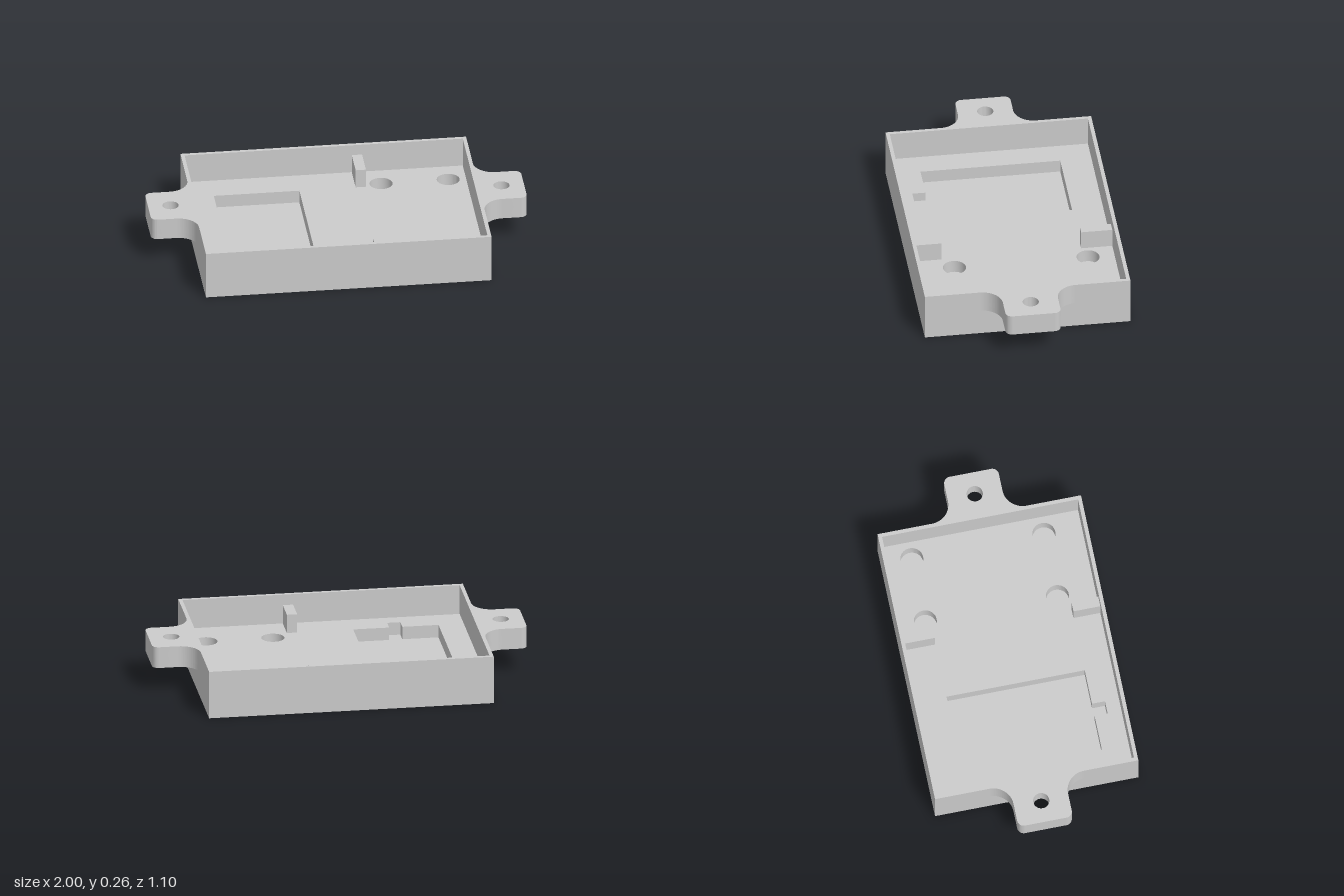
import * as THREE from 'three';
import { toCreasedNormals } from 'three/addons/utils/BufferGeometryUtils.js';

const W = 0.76, D = 0.548, WALL = 0.02;        // half width, half depth, wall
const POCKET = 0.03, FLOOR = 0.1, TOP = 0.262; // heights
const TAB_BASE = 0.145, BORE_TOP = 0.175;

export function createModel() {
  const model = new THREE.Group();
  const material = new THREE.MeshStandardMaterial({ color: 0xcccccc });

  const add = (name, geometry, parent = model) => {
    const mesh = new THREE.Mesh(geometry, material);
    mesh.name = name;
    parent.add(mesh);
    return mesh;
  };

  // Plan outlines are drawn in (x, -z) and raised from y0 to y1
  const raise = (shape, y0, y1) => {
    const g = new THREE.ExtrudeGeometry(shape, { depth: y1 - y0, bevelEnabled: false, curveSegments: 20 });
    g.rotateX(-Math.PI / 2).translate(0, y0, 0);
    return toCreasedNormals(g, 0.6);
  };
  const polygon = (points, Type = THREE.Shape) => new Type(points.map(([x, z]) => new THREE.Vector2(x, -z)));
  const rect = (w, d, Type) => polygon([[-w, d], [w, d], [w, -d], [-w, -d]], Type);
  const circle = (x, z, r) => new THREE.Path().absarc(x, -z, r, 0, Math.PI * 2, true);

  // Bottom plate
  add('bottomPlate', raise(rect(W, D), 0, POCKET));

  // Floor with notched pocket and four round recesses
  const floor = rect(W, D);
  floor.holes.push(polygon([
    [-0.605, -0.362], [-0.15, -0.362], [-0.15, 0.383], [-0.342, 0.383],
    [-0.342, 0.453], [-0.412, 0.453], [-0.412, 0.383], [-0.605, 0.383],
  ], THREE.Path));
  for (const x of [0.288, 0.645])
    for (const z of [-0.387, 0.325]) floor.holes.push(circle(x, z, 0.061));
  add('recessedFloor', raise(floor, POCKET, FLOOR));

  // Surrounding wall
  const wall = rect(W, D);
  wall.holes.push(rect(W - WALL, D - WALL, THREE.Path));
  add('sideWalls', raise(wall, FLOOR, TOP));

  // Two support ribs standing against the long walls
  for (const [name, z0, z1] of [['backRib', -D + WALL, -0.362], ['frontRib', 0.383, D - WALL]]) {
    const h = 0.103;
    add(name, new THREE.BoxGeometry(0.055, h, z1 - z0))
      .position.set(0.177, FLOOR + h / 2, (z0 + z1) / 2);
  }

  // Mounting tab: filleted into the body, rounded outside, bored from below
  const tabShape = (boreRadius) => {
    const h = 0.147, fillet = 0.108, r = 0.035;
    const s = new THREE.Shape();
    s.moveTo(W, -h - fillet);
    s.absarc(W + fillet, -h - fillet, fillet, Math.PI, Math.PI / 2, true);
    s.absarc(1 - r, -h + r, r, -Math.PI / 2, 0, false);
    s.absarc(1 - r, h - r, r, 0, Math.PI / 2, false);
    s.absarc(W + fillet, h + fillet, fillet, -Math.PI / 2, -Math.PI, true);
    s.closePath();
    s.holes.push(circle(0.88, 0, boreRadius));
    return s;
  };
  const lower = raise(tabShape(0.066), TAB_BASE, BORE_TOP);
  const upper = raise(tabShape(0.043), BORE_TOP, TOP);
  for (const [name, angle] of [['leftTab', 0], ['rightTab', Math.PI]]) {
    const tab = new THREE.Group();
    tab.name = name;
    tab.rotation.y = angle;
    add('counterboredLayer', lower, tab);
    add('screwHoleLayer', upper, tab);
    model.add(tab);
  }
  return model;
}
